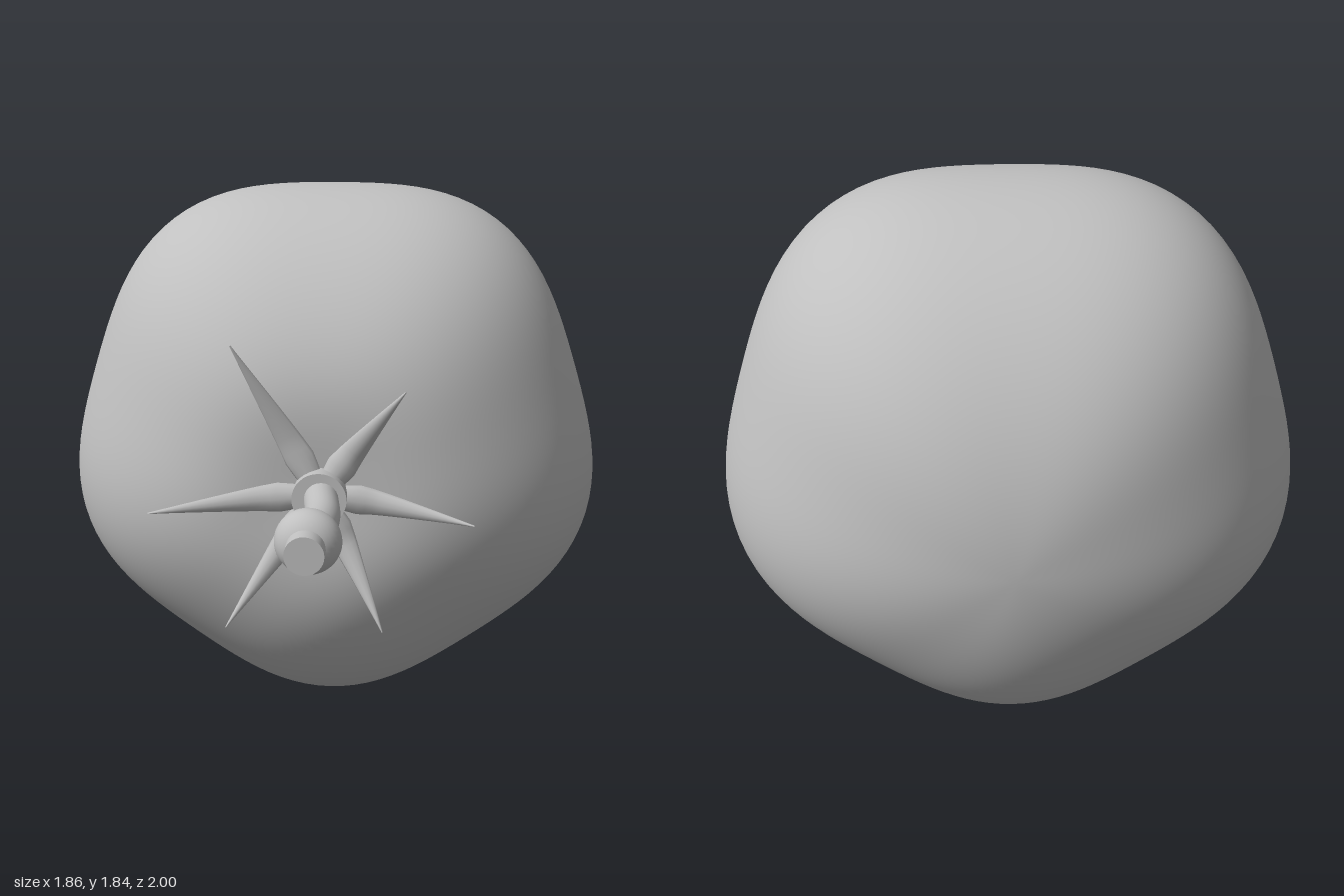
import * as THREE from 'three';
import { mergeVertices } from 'three/addons/utils/BufferGeometryUtils.js';

const CY = 0.96; // height of the fruit's axis, which runs along z

// Five-lobed sphere, with a shallow dimple where the stalk joins
function bodyGeometry() {
  let geo = new THREE.SphereGeometry(1, 120, 80).rotateX(Math.PI / 2);
  geo.deleteAttribute('uv');
  geo.deleteAttribute('normal');
  geo = mergeVertices(geo, 1e-5);
  const p = geo.attributes.position;
  for (let i = 0; i < p.count; i++) {
    const x = p.getX(i), y = p.getY(i), z = p.getZ(i);
    const rho = Math.hypot(x, y);
    const r = 0.921 + 0.03 * Math.cos(5 * (Math.atan2(y, x) + Math.PI / 2));
    const dimple = z > 0 ? 0.075 * Math.exp(-((rho / 0.32) ** 2)) : 0;
    p.setXYZ(i, x * r, y * r, 0.77 * z - dimple);
  }
  geo.computeVertexNormals();
  return geo;
}

// Thin pointed leaf along +x, curling forward to the tip and rounded across
function sepalGeometry(length, tipZ) {
  const rings = 20, sides = 12, pos = [], idx = [];
  for (let i = 0; i <= rings; i++) {
    const t = i / rings;
    const w = t < 0.2 ? 0.03 + 0.016 * Math.sin(t / 0.2 * Math.PI / 2) : 0.046 * (1 - t) / 0.8 + 0.002;
    const h = 0.005 + 0.007 * (1 - t);
    const lift = Math.max(0, (t - 0.3) / 0.7);
    const z = 0.488 + (tipZ - 0.488) * Math.pow(lift, 1.2);
    for (let j = 0; j < sides; j++) {
      const a = j / sides * Math.PI * 2, c = Math.cos(a);
      pos.push(0.03 + (length - 0.03) * t, w * c, z + h * Math.sin(a) - 0.3 * w * c * c);
    }
  }
  for (let i = 0; i < rings; i++) {
    for (let j = 0; j < sides; j++) {
      const a = i * sides + j, b = i * sides + (j + 1) % sides;
      idx.push(a, b, a + sides, b, b + sides, a + sides);
    }
  }
  // Close the tip
  for (let j = 1; j < sides - 1; j++) idx.push(rings * sides, rings * sides + j, rings * sides + j + 1);
  const geo = new THREE.BufferGeometry();
  geo.setAttribute('position', new THREE.Float32BufferAttribute(pos, 3));
  geo.setIndex(idx);
  geo.computeVertexNormals();
  return geo;
}

export function createModel() {
  const model = new THREE.Group();
  model.name = 'tomato';
  const grey = new THREE.MeshStandardMaterial({ color: 0xc0c0c0 });
  grey.name = 'plain grey';

  const add = (name, geo, x, y, z) => {
    const mesh = new THREE.Mesh(geo, grey);
    mesh.name = name;
    mesh.position.set(x, y, z);
    model.add(mesh);
    return mesh;
  };
  const rod = (radius, depth) => new THREE.CylinderGeometry(radius, radius, depth, 32).rotateX(Math.PI / 2);

  add('fruitBody', bodyGeometry(), 0, CY, -0.23);

  // Leaf star: tip x, tip y, tip z
  const tips = [
    [-0.262, 1.44, 0.54], [0.26, 1.32, 0.59], [0.475, 0.9, 0.565],
    [0.2, 0.55, 0.585], [-0.29, 0.55, 0.58], [-0.53, 0.91, 0.545],
  ];
  for (const [x, y, z] of tips) {
    const dy = y - CY;
    add('sepal', sepalGeometry(Math.hypot(x, dy), z), 0, CY, 0).rotation.z = Math.atan2(dy, x);
  }

  // Stalk: collar, gently bent stem, knuckle and cut end
  add('collar', rod(0.085, 0.06), 0, CY, 0.5);
  const path = new THREE.CatmullRomCurve3([
    [0, 0.46], [0.008, 0.54], [0.022, 0.68], [0.016, 0.78], [0, 0.88],
  ].map(([x, z]) => new THREE.Vector3(x, 0, z)));
  add('stem', new THREE.TubeGeometry(path, 24, 0.053, 24), 0, CY + 0.003, 0);
  add('knuckle', new THREE.SphereGeometry(0.096, 32, 24), -0.003, CY + 0.003, 0.885).scale.z = 0.78;
  add('stemEnd', rod(0.056, 0.1), -0.005, CY + 0.003, 0.95);

  return model;
}
